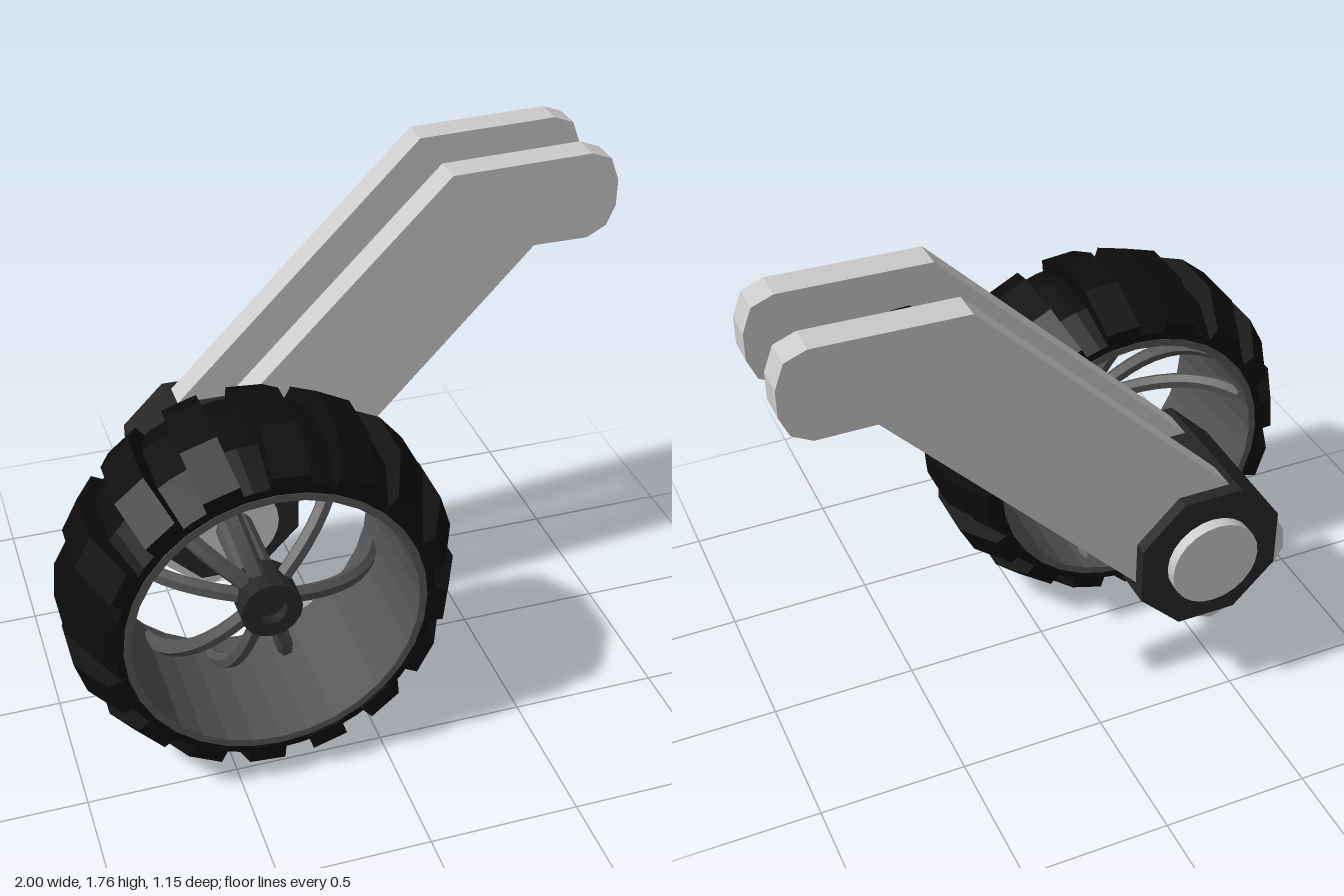
import * as THREE from 'three';

const WX = -0.365, WY = 0.64; // wheel axis

const mat = (color) => new THREE.MeshStandardMaterial({ color, flatShading: true });
const light = new THREE.MeshStandardMaterial({ color: 0xcccccc });
const rubber = mat(0x0c0c0c), dark = mat(0x262626), metal = mat(0x555555);

function add(parent, name, geometry, material) {
  const mesh = new THREE.Mesh(geometry, material);
  mesh.name = name;
  parent.add(mesh);
  return mesh;
}

// Cylinder along z between two depths
function rodZ(r, z0, z1, sides) {
  return new THREE.CylinderGeometry(r, r, z1 - z0, sides)
    .rotateX(Math.PI / 2).translate(0, 0, (z0 + z1) / 2);
}

// Revolved profile of [radius, z] pairs around z
function latheZ(profile, segments) {
  return new THREE.LatheGeometry(profile.map((p) => new THREE.Vector2(...p)), segments)
    .rotateX(Math.PI / 2);
}

const polygon = (points) => new THREE.Shape(points.map((p) => new THREE.Vector2(...p)));

function makeWheel() {
  const wheel = new THREE.Group();
  wheel.name = 'wheel';
  wheel.position.set(WX, WY, 0);

  add(wheel, 'tyre', latheZ([
    [0.485, 0.042], [0.515, 0.042], [0.575, 0.2], [0.575, 0.41], [0.515, 0.57], [0.485, 0.57], [0.485, 0.042],
  ], 48), rubber);
  add(wheel, 'rim', latheZ([
    [0.465, 0.04], [0.49, 0.04], [0.49, 0.573], [0.465, 0.573], [0.465, 0.04],
  ], 32), metal);

  // Tread lugs
  const lug = new THREE.ExtrudeGeometry(polygon([
    [0.04, 0.495], [0.575, 0.495], [0.575, 0.552], [0.41, 0.635], [0.205, 0.635], [0.04, 0.552],
  ]), { depth: 0.12, bevelEnabled: false }).translate(0, 0, -0.06).rotateY(-Math.PI / 2);
  for (let i = 0; i < 16; i++) {
    add(wheel, 'treadLug', lug, rubber).rotation.z = THREE.MathUtils.degToRad(-5 + i * 22.5 - 90);
  }

  // Spokes bend back from the hub to the rear of the rim
  const curve = new THREE.QuadraticBezierCurve3(
    new THREE.Vector3(0.04, 0, 0.42), new THREE.Vector3(0.38, 0, 0.38), new THREE.Vector3(0.475, 0, 0.1));
  const spoke = new THREE.TubeGeometry(curve, 10, 0.028, 6);
  for (const a of [46, 106, 136, 166, 226, 256, 286, 346]) {
    add(wheel, 'spoke', spoke, metal).rotation.z = THREE.MathUtils.degToRad(a);
  }

  // Hub with a recessed face, on a thin shaft
  add(wheel, 'hub', latheZ([
    [0, 0.36], [0.1, 0.36], [0.1, 0.5], [0.05, 0.5], [0.05, 0.46], [0, 0.46],
  ], 16), dark);
  add(wheel, 'shaft', rodZ(0.065, 0.02, 0.4, 12), metal);
  return wheel;
}

export function createModel() {
  const model = new THREE.Group();
  model.name = 'wheelAssembly';
  model.add(makeWheel());

  // Axle and octagonal collar
  add(model, 'axle', rodZ(0.154, -0.573, 0.042, 24), light).position.set(WX, WY + 0.005, 0);
  const collar = add(model, 'collar', rodZ(0.266, -0.533, -0.037, 8), dark);
  collar.position.set(WX, WY + 0.002, 0);
  collar.rotation.z = Math.PI / 8;

  // Pair of cranked arm plates
  const plate = new THREE.ExtrudeGeometry(polygon([
    [0.42, 1.755], [-0.62, 0.71], [-0.665, 0.63], [-0.672, 0.55], [-0.645, 0.5],
    [-0.49, 0.36], [-0.41, 0.33], [-0.33, 0.365], [0.715, 1.465], [0.905, 1.465],
    [0.97, 1.5], [1.0, 1.57], [1.0, 1.66], [0.97, 1.74], [0.9, 1.767],
  ]), { depth: 0.1, bevelEnabled: false });
  for (const z of [-0.185, -0.49]) {
    add(model, 'armPlate', plate, light).position.z = z;
  }

  // Damper between the plates, leaning with the arm
  const damper = new THREE.Group();
  damper.name = 'damper';
  damper.position.set(0.467, 1.49, -0.285);
  damper.rotation.z = -Math.PI / 4;
  add(damper, 'damperRod', new THREE.CylinderGeometry(0.064, 0.064, 0.95, 16).translate(0, -0.55, 0), metal);
  add(damper, 'damperBody', new THREE.LatheGeometry([
    [0, -0.205], [0.06, -0.205], [0.098, -0.16], [0.098, 0.16], [0.06, 0.205], [0, 0.205],
  ].map((p) => new THREE.Vector2(...p)), 12), rubber);
  model.add(damper);

  return model;
}
